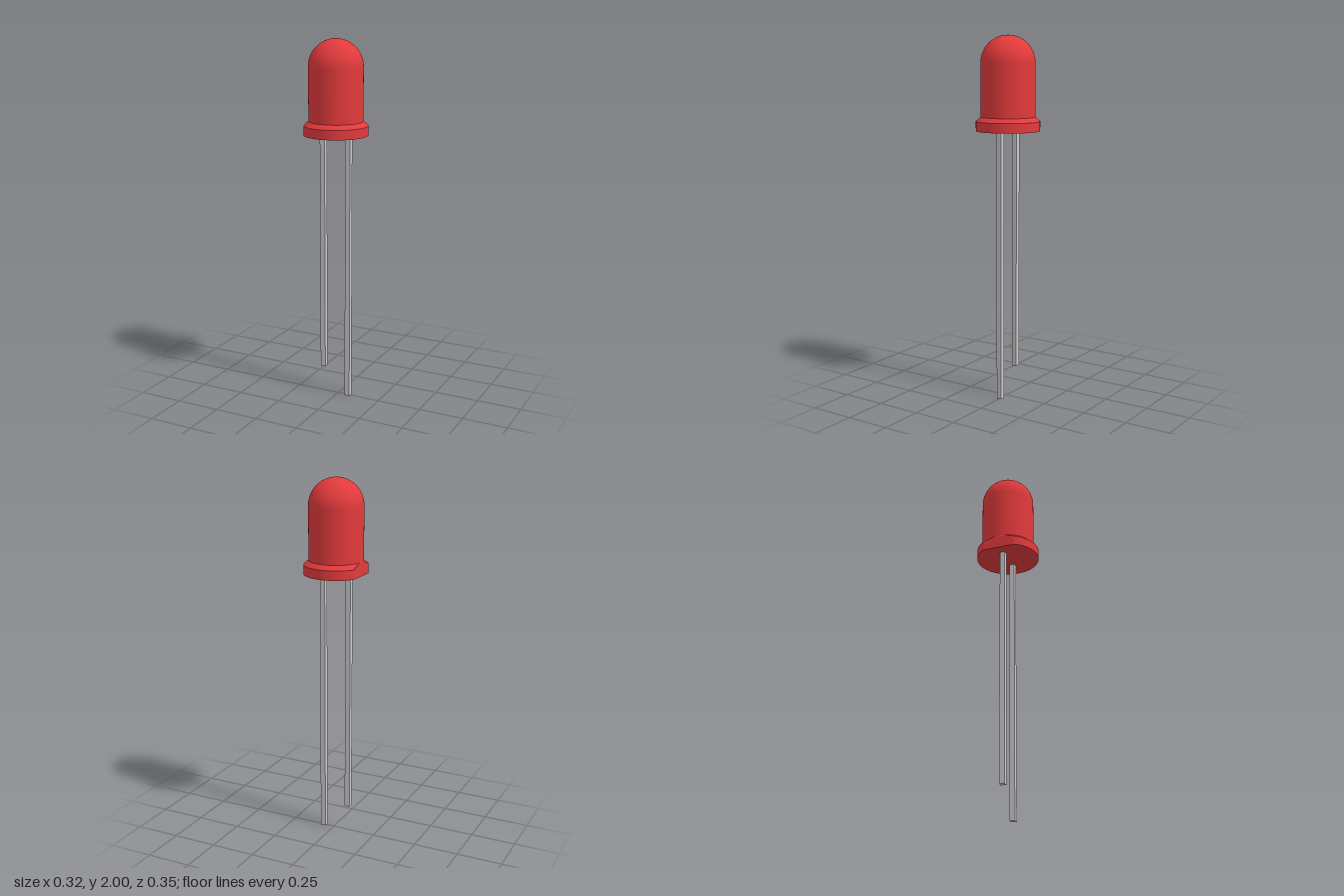
import * as THREE from 'three';
import { toCreasedNormals } from 'three/addons/utils/BufferGeometryUtils.js';

const CENTRE_X = -0.014;
const LENS_R = 0.147, RIM_R = 0.174, FLAT_X = -0.148;
const BASE_Y = 1.49, RIM_EDGE_Y = 1.542, RIM_TOP_Y = 1.565, TOP_Y = 2;
const SEGMENTS = 96;

const red = new THREE.MeshStandardMaterial({ color: 0xe23a3c });
const grey = new THREE.MeshStandardMaterial({ color: 0xcccccc });

function addMesh(group, name, geometry, material) {
  const mesh = new THREE.Mesh(geometry, material);
  mesh.name = name;
  group.add(mesh);
  return mesh;
}

// Straight barrel closed by a hemispherical dome
function lensGeometry() {
  const domeY = TOP_Y - LENS_R;
  const profile = [new THREE.Vector2(LENS_R, RIM_TOP_Y)];
  for (let i = 0; i <= 24; i++) {
    const a = (i / 24) * Math.PI / 2;
    profile.push(new THREE.Vector2(i === 24 ? 0 : LENS_R * Math.cos(a), domeY + LENS_R * Math.sin(a)));
  }
  return new THREE.LatheGeometry(profile, SEGMENTS);
}

// Bevelled base flange with one side cut flat
function rimGeometry() {
  const profile = [new THREE.Vector2(0, BASE_Y), new THREE.Vector2(RIM_R, BASE_Y)];
  for (let i = 0; i <= 6; i++) {
    const t = i / 6;
    profile.push(new THREE.Vector2(
      THREE.MathUtils.lerp(RIM_R, LENS_R, t),
      THREE.MathUtils.lerp(RIM_EDGE_Y, RIM_TOP_Y, t)));
  }
  const geometry = new THREE.LatheGeometry(profile, SEGMENTS);
  const pos = geometry.attributes.position;
  for (let i = 0; i < pos.count; i++) pos.setX(i, Math.max(pos.getX(i), FLAT_X));
  return toCreasedNormals(geometry, Math.PI / 7);
}

export function createModel() {
  const model = new THREE.Group();
  model.name = 'lightEmittingDiode';

  addMesh(model, 'lens', lensGeometry(), red).position.x = CENTRE_X;
  addMesh(model, 'rim', rimGeometry(), red).position.x = CENTRE_X;

  // Square wire leads, the one beside the flat being shorter
  for (const [name, x, bottom] of [['shortLead', -0.076, 0.152], ['longLead', 0.076, 0]]) {
    const top = BASE_Y + 0.01;
    const lead = addMesh(model, name, new THREE.BoxGeometry(0.029, top - bottom, 0.029), grey);
    lead.position.set(CENTRE_X + x, (top + bottom) / 2, 0);
  }
  return model;
}
